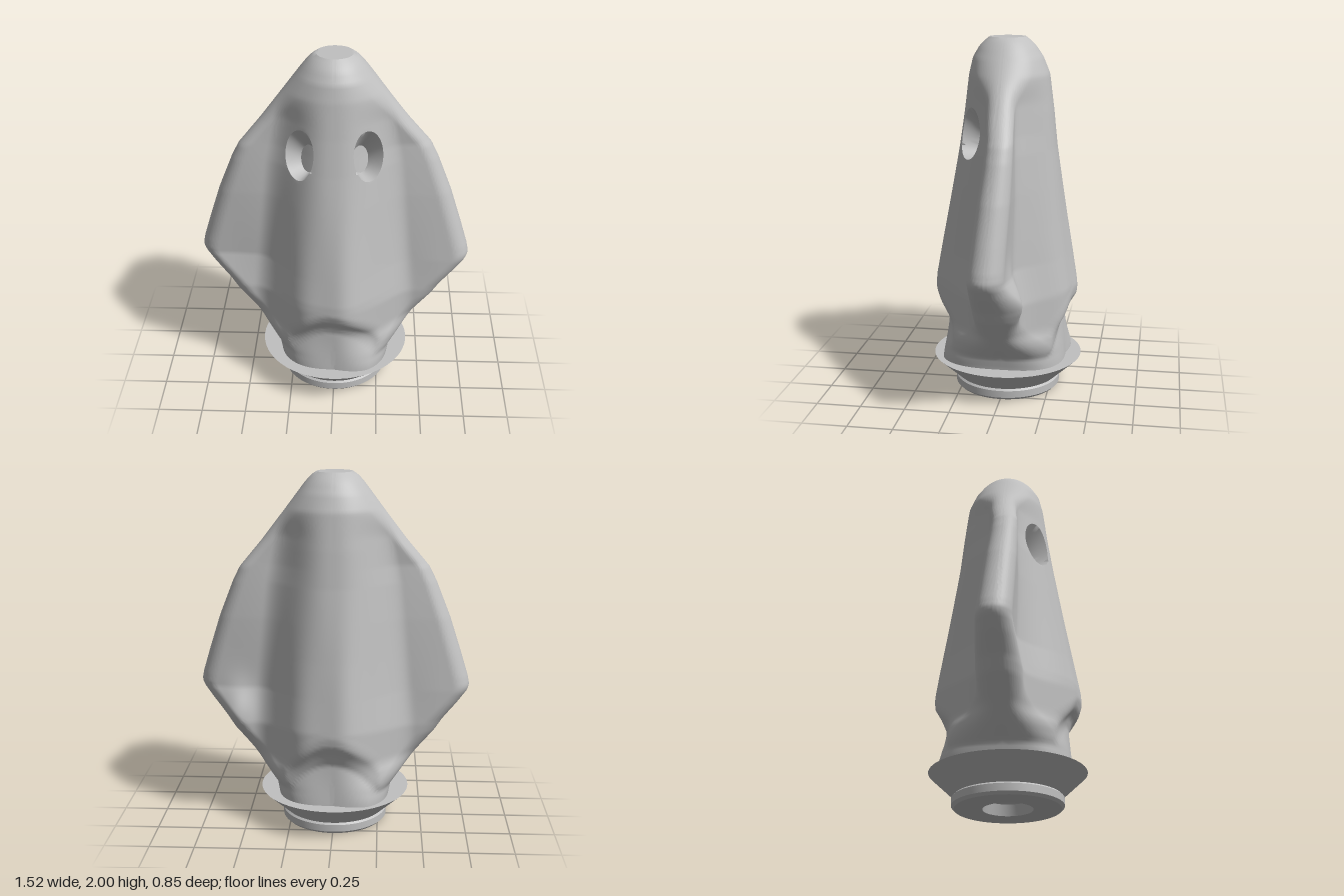
import * as THREE from 'three';
import { toCreasedNormals } from 'three/addons/utils/BufferGeometryUtils.js';

const { smoothstep } = THREE.MathUtils;

// Piecewise linear lookup; pairs run from low y to high y
function lookup(pairs, y) {
  if (y <= pairs[0][0]) return pairs[0][1];
  for (let i = 1; i < pairs.length; i++) {
    const [y0, a] = pairs[i - 1], [y1, b] = pairs[i];
    if (y <= y1) return a + (b - a) * (y - y0) / (y1 - y0);
  }
  return pairs[pairs.length - 1][1];
}

// Sheet outline and depth profiles, as [height, size]
const OUTLINE = [[0.19, 0.315], [0.26, 0.33], [0.34, 0.4], [0.46, 0.5], [0.55, 0.575], [0.62, 0.62], [0.72, 0.7],
  [0.79, 0.75], [0.82, 0.76], [0.87, 0.75], [1, 0.71], [1.2, 0.645], [1.4, 0.565], [1.48, 0.525], [1.63, 0.4],
  [1.8, 0.27], [1.94, 0.165], [1.98, 0.13], [2, 0.1]];
const FRONT = [[0.19, 0.34], [0.44, 0.325], [0.49, 0.34], [0.55, 0.385], [0.6, 0.4], [0.66, 0.395], [1, 0.335],
  [1.4, 0.265], [1.6, 0.235], [1.8, 0.21], [1.89, 0.19], [1.95, 0.155], [1.98, 0.125], [2, 0.1]];
const BACK = [[0.19, 0.34], [0.42, 0.32], [0.49, 0.35], [0.55, 0.385], [0.6, 0.39], [1, 0.33], [1.4, 0.275],
  [1.6, 0.255], [1.8, 0.23], [1.89, 0.195], [1.95, 0.155], [1.98, 0.125], [2, 0.1]];
const FLARE = [[0.19, 0.45], [0.6, 0.46], [1, 0.42], [1.4, 0.38], [1.8, 0.3], [2, 0.2]];
const ARM = [[0.19, 0.12], [0.6, 0.12], [0.8, 0.095], [1.2, 0.085], [1.5, 0.07], [1.8, 0.08], [2, 0.05]];
const TWIST = [[0.3, 0], [0.6, 0.01], [0.8, 0.025], [1.5, -0.025], [1.8, 0]];

// Depth of the cloth at (x, y): a bell-shaped core flowing into thin arms,
// turning to a plain rounded section at the crown and the hem
function clothZ(x, y, side) {
  const a = Math.abs(x), X = lookup(OUTLINE, y);
  const arch = Math.min(0.17, 2.5 * x * x);
  const archY = y < 0.62 ? Math.min(0.62, y + arch) : y;
  const depth = lookup(side > 0 ? FRONT : BACK, archY);
  const sway = smoothstep(1.5 - y, 0, 0.8);

  // thin arms with a rounded edge and one lump of cloth at the back
  const t = Math.min(X, lookup(ARM, y)), e = Math.max(0, X - a);
  const edge = e < t ? Math.sqrt(Math.max(0, 1 - (1 - e / t) ** 2)) : 1;
  const lump = Math.exp(-(((a - 0.55) / 0.09) ** 2) - (((y - 0.68) / 0.15) ** 2));
  const arm = t * (side < 0 && x > 0 ? 1 + 0.45 * lump : 1);

  const f = Math.min(1, a / lookup(FLARE, y)) ** 1.3;
  const fold = 1 + 0.035 * sway * Math.sin(21 * x * side);
  const bell = (arm + (depth - arm) * 0.5 * (1 + Math.cos(Math.PI * f)) * fold) * edge;

  const p = y < 1 ? 3 : 2;
  const corner = y < 1 && x * side > 0 ? 1 + 0.12 * Math.min(1, a / 0.2) : 1;
  const round = depth * corner * Math.pow(Math.max(0, 1 - Math.pow(a / X, p)), 1 / p);

  const plain = y < 1 ? 1 - smoothstep(y, 0.19, 0.44) : smoothstep(y, 1.65, 1.95);
  const mid = Math.sign(x) * lookup(TWIST, y) * smoothstep(a, 0.2, 0.6) - 0.01 * smoothstep(a, 0, 0.4);
  return mid + side * (bell + (round - bell) * plain);
}

// Front vertices near an eye snap to its rim or floor, and sink inside it
function carveEye(x, y) {
  const s = Math.sign(x) || 1, cx = 0.183 * s, cy = 1.49;
  const rx = 0.077, ry = 0.14;
  const lean = (yy) => -0.1 * s * (yy - cy);
  let dx = x - cx - lean(y), dy = y - cy;
  let rho = Math.hypot(dx / rx, dy / ry);
  if (rho > 1.09) return [x, y, clothZ(x, y, 1)];
  const snap = Math.abs(rho - 1) < 0.09 ? 1 : Math.abs(rho - 0.55) < 0.08 ? 0.55 : rho;
  dx *= snap / rho || 1;
  dy *= snap / rho || 1;
  rho = snap;
  const py = cy + dy, px = cx + dx + lean(py);
  const d = Math.min(1, (1 - rho) / 0.45);
  return [px - 0.045 * s * d, py - 0.055 * d, clothZ(px, py, 1) - 0.08 * d];
}

// One half of the sheet; the last row folds shut to make the flat crown
function clothHalf(side) {
  const cols = 120, rows = 130, pos = [], index = [];
  for (let j = 0; j <= rows + 1; j++) {
    const y = 0.185 + 1.815 * Math.min(1, j / rows);
    const X = lookup(OUTLINE, y);
    for (let i = 0; i <= cols; i++) {
      const x = X * Math.sin((i / cols - 0.5) * Math.PI);
      if (j > rows) pos.push(x, 2, 0);
      else if (side > 0) pos.push(...carveEye(x, y));
      else pos.push(x, y, clothZ(x, y, -1));
    }
  }
  const w = cols + 1;
  for (let j = 0; j <= rows; j++) {
    for (let i = 0; i < cols; i++) {
      const a = j * w + i, b = a + 1, c = a + w, d = c + 1;
      // diagonals mirror about the middle
      const quad = i < cols / 2 ? [a, b, c, b, d, c] : [a, b, d, a, d, c];
      index.push(...(side > 0 ? quad : quad.reverse()));
    }
  }
  const g = new THREE.BufferGeometry();
  g.setAttribute('position', new THREE.Float32BufferAttribute(pos, 3));
  g.setIndex(index);
  return toCreasedNormals(g, 0.6);
}

export function createModel() {
  const group = new THREE.Group();
  const grey = new THREE.MeshStandardMaterial({ color: 0xc0c0c0 });
  grey.name = 'plain grey';
  grey.side = THREE.DoubleSide;

  const add = (name, geometry) => {
    const mesh = new THREE.Mesh(geometry, grey);
    mesh.name = name;
    group.add(mesh);
  };

  // draped sheet
  add('sheetFront', clothHalf(1));
  add('sheetBack', clothHalf(-1));

  // flared collar and plug with a socket underneath
  const profile = [[0, 0.17], [0.095, 0.17], [0.095, 0.07], [0.12, 0.06], [0.135, 0], [0.285, 0], [0.3, 0.015],
    [0.3, 0.055], [0.29, 0.065], [0.425, 0.19], [0, 0.19]].map(([r, y]) => new THREE.Vector2(r, y));
  add('base', toCreasedNormals(new THREE.LatheGeometry(profile, 64), 0.4));

  return group;
}
